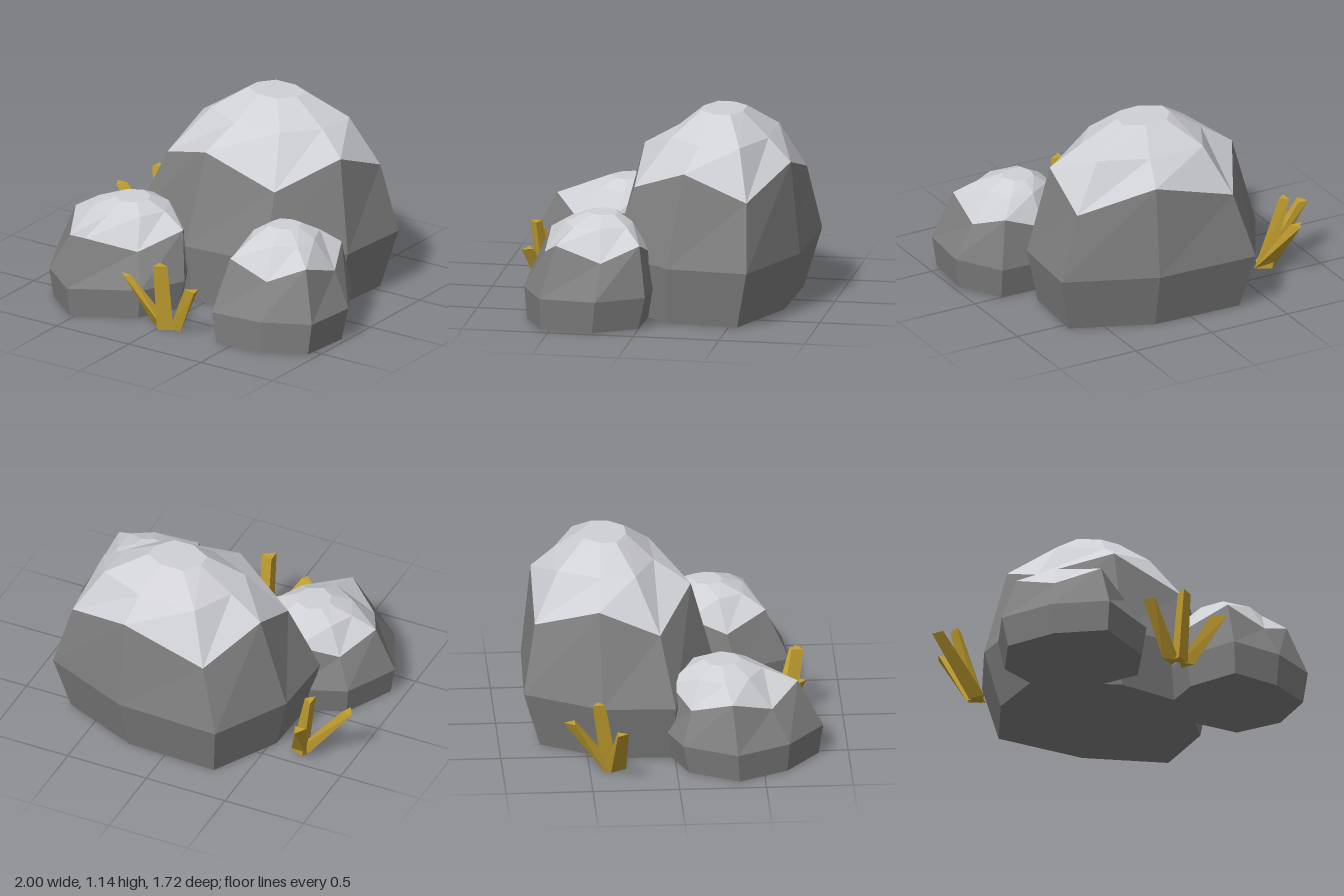
import * as THREE from 'three';
import { ConvexGeometry } from 'three/addons/geometries/ConvexGeometry.js';

const stone = new THREE.MeshStandardMaterial({ color: 0x808080 });
stone.name = 'stone grey';
const pale = new THREE.MeshStandardMaterial({ color: 0xd0d1d6 });
pale.name = 'pale cap grey';
const gold = new THREE.MeshStandardMaterial({ color: 0xc4a030 });
gold.name = 'dry grass gold';

// Faceted shell through stacked rings (each ring runs clockwise seen from above)
function shell(rings, closeBottom, closeTop) {
  const pos = [];
  const tri = (...pts) => pts.forEach((p) => pos.push(...p));
  const n = rings[0].length;
  for (let r = 0; r < rings.length - 1; r++) {
    const lo = rings[r], up = rings[r + 1];
    for (let i = 0; i < n; i++) {
      const j = (i + 1) % n;
      tri(lo[j], lo[i], up[i]);
      tri(lo[j], up[i], up[j]);
    }
  }
  const top = rings[rings.length - 1], bottom = rings[0];
  for (let i = 1; i < n - 1; i++) {
    if (closeTop) tri(top[0], top[i + 1], top[i]);
    if (closeBottom) tri(bottom[0], bottom[i], bottom[i + 1]);
  }
  const g = new THREE.BufferGeometry();
  g.setAttribute('position', new THREE.Float32BufferAttribute(pos, 3));
  g.computeVertexNormals();
  return g;
}

// Rock: wide ring, zigzag cap edge, shoulder and flat top; the foot is the wide ring drawn in
function rock(name, { wide, edge, shoulder, top, heights, zigzag, foot }) {
  const at = (ring, y) => ring.map(([x, z], i) => [x, typeof y === 'number' ? y : y[i % 2], z]);
  const [cx, cz, s] = foot;
  const base = wide.map(([x, z]) => [cx + (x - cx) * s, cz + (z - cz) * s]);
  const edgeRing = at(edge, zigzag);
  const group = new THREE.Group();
  group.name = name;
  const body = new THREE.Mesh(shell([at(base, 0), at(wide, heights[0]), edgeRing], true, false), stone);
  body.name = name + 'Body';
  const cap = new THREE.Mesh(
    shell([edgeRing, at(shoulder, heights[1]), at(top, heights[2])], false, true), pale);
  cap.name = name + 'Cap';
  group.add(body, cap);
  return group;
}

// Tuft: three-sided blades, each from a foot triangle to a tip triangle
function tuft(name, blades) {
  const group = new THREE.Group();
  group.name = name;
  blades.forEach(({ foot, tip, height }, i) => {
    const pts = [
      ...foot.map(([x, z]) => new THREE.Vector3(x, 0, z)),
      ...tip.map(([x, z]) => new THREE.Vector3(x, height, z)),
    ];
    const blade = new THREE.Mesh(new ConvexGeometry(pts), gold);
    blade.name = 'grassBlade' + (i + 1);
    group.add(blade);
  });
  return group;
}

export function createModel() {
  const model = new THREE.Group();
  model.name = 'rocksWithGrass';

  model.add(rock('largeRock', {
    wide: [[-0.37, -0.86], [0.25, -0.84], [0.775, -0.62], [0.74, -0.15],
      [0.42, 0.23], [-0.1, 0.27], [-0.63, 0], [-0.615, -0.42]],
    edge: [[-0.26, -0.79], [0.245, -0.785], [0.66, -0.6], [0.635, -0.23],
      [0.4, 0.1], [-0.065, 0.12], [-0.465, -0.08], [-0.455, -0.43]],
    shoulder: [[-0.14, -0.65], [0.21, -0.65], [0.49, -0.53], [0.47, -0.29],
      [0.3, -0.1], [-0.005, -0.09], [-0.25, -0.21], [-0.26, -0.41]],
    top: [[0.01, -0.49], [0.145, -0.49], [0.26, -0.435], [0.255, -0.34],
      [0.18, -0.25], [0.06, -0.245], [-0.06, -0.31], [-0.06, -0.4]],
    heights: [0.34, 1.01, 1.145], zigzag: [0.73, 0.88], foot: [0.08, -0.05, 0.88],
  }));

  model.add(rock('rightRock', {
    wide: [[-0.945, 0.34], [-0.79, 0.035], [-0.5, -0.08], [-0.2, 0.07],
      [-0.035, 0.38], [-0.16, 0.645], [-0.53, 0.855], [-0.795, 0.645]],
    edge: [[-0.835, 0.315], [-0.715, 0.085], [-0.49, -0.03], [-0.24, 0.06],
      [-0.105, 0.29], [-0.245, 0.55], [-0.5, 0.71], [-0.715, 0.55]],
    shoulder: [[-0.7, 0.28], [-0.635, 0.14], [-0.47, 0.06], [-0.32, 0.12],
      [-0.245, 0.27], [-0.315, 0.42], [-0.485, 0.51], [-0.635, 0.42]],
    top: [[-0.565, 0.27], [-0.54, 0.205], [-0.465, 0.17], [-0.395, 0.2],
      [-0.355, 0.28], [-0.385, 0.35], [-0.465, 0.39], [-0.535, 0.345]],
    heights: [0.175, 0.525, 0.575], zigzag: [0.445, 0.365], foot: [-0.48, 0.5, 0.925],
  }));

  model.add(rock('leftRock', {
    wide: [[1, 0.225], [0.97, 0.555], [0.7, 0.69], [0.385, 0.715],
      [0.245, 0.405], [0.26, 0.13], [0.55, -0.05], [0.84, -0.04]],
    edge: [[0.895, 0.21], [0.875, 0.475], [0.67, 0.575], [0.42, 0.58],
      [0.285, 0.35], [0.32, 0.13], [0.56, -0.02], [0.8, 0]],
    shoulder: [[0.77, 0.235], [0.76, 0.39], [0.64, 0.46], [0.47, 0.45],
      [0.4, 0.31], [0.43, 0.17], [0.57, 0.08], [0.71, 0.09]],
    top: [[0.665, 0.245], [0.65, 0.3], [0.585, 0.335], [0.515, 0.325],
      [0.49, 0.245], [0.505, 0.19], [0.575, 0.165], [0.64, 0.175]],
    heights: [0.19, 0.57, 0.625], zigzag: [0.395, 0.485], foot: [0.6, 0.5, 0.92],
  }));

  model.add(tuft('frontGrass', [
    { foot: [[0.03, 0.61], [0.03, 0.69], [-0.06, 0.66]],
      tip: [[-0.23, 0.73], [-0.18, 0.78], [-0.16, 0.74]], height: 0.305 },
    { foot: [[0.01, 0.64], [0.01, 0.725], [0.095, 0.68]],
      tip: [[0.015, 0.705], [0.015, 0.775], [0.085, 0.73]], height: 0.41 },
    { foot: [[0.1, 0.6], [0.055, 0.66], [0.14, 0.68]],
      tip: [[0.285, 0.71], [0.215, 0.745], [0.3, 0.775]], height: 0.305 },
  ]));

  model.add(tuft('sideGrass', [
    { foot: [[-0.63, -0.38], [-0.74, -0.41], [-0.68, -0.33]],
      tip: [[-0.78, -0.655], [-0.82, -0.59], [-0.75, -0.59]], height: 0.34 },
    { foot: [[-0.65, -0.4], [-0.74, -0.38], [-0.69, -0.29]],
      tip: [[-1, -0.355], [-0.965, -0.29], [-0.935, -0.355]], height: 0.34 },
    { foot: [[-0.63, -0.38], [-0.72, -0.43], [-0.72, -0.34]],
      tip: [[-0.8, -0.49], [-0.75, -0.455], [-0.8, -0.415]], height: 0.45 },
  ]));

  return model;
}
